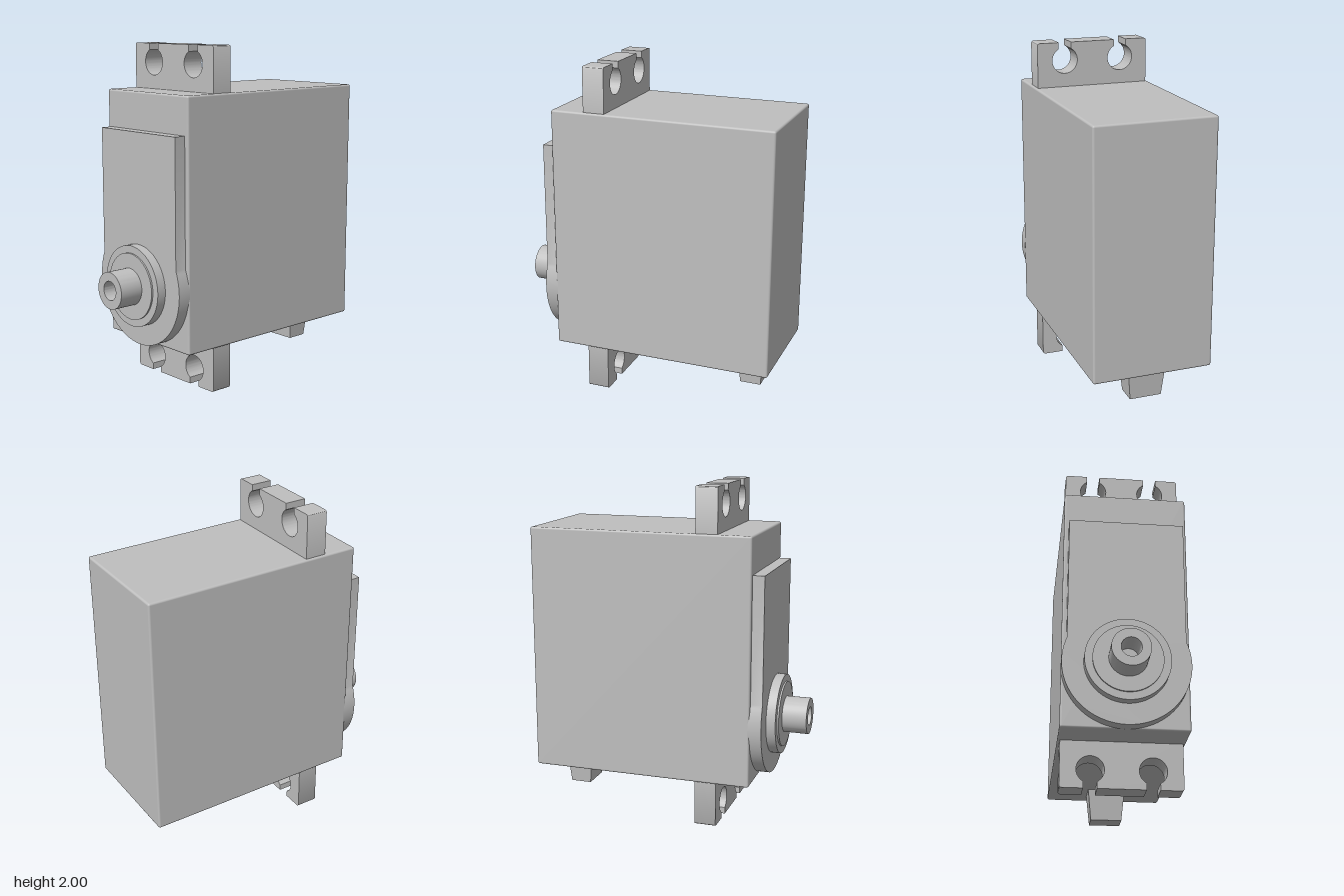
import * as THREE from 'three';
import { toCreasedNormals } from 'three/addons/utils/BufferGeometryUtils.js';
import { RoundedBoxGeometry } from 'three/addons/geometries/RoundedBoxGeometry.js';

const AXIS_Y = 0.63; // height of the output shaft

// Mounting tab with two keyhole slots open to its outer edge
function tabShape() {
  const w = 0.343, h = 0.265, r = 0.015;
  const holeR = 0.078, slot = 0.038, holeY = 0.158;
  const a = Math.acos(slot / holeR);
  const s = new THREE.Shape();
  s.moveTo(-w, -0.02);
  s.lineTo(w, -0.02);
  s.lineTo(w, h - r);
  s.absarc(w - r, h - r, r, 0, Math.PI / 2, false);
  for (const cx of [0.174, -0.174]) {
    s.lineTo(cx + slot, h);
    s.absarc(cx, holeY, holeR, a, Math.PI - a, true);
    s.lineTo(cx - slot, h);
  }
  s.absarc(-w + r, h - r, r, Math.PI / 2, Math.PI, false);
  s.closePath();
  return s;
}

// Raised front cover: a straight panel ending in a round boss
function coverShape() {
  const w = 0.33, r = 0.358, a = Math.acos(w / r);
  const s = new THREE.Shape();
  s.moveTo(w, 1.515);
  s.lineTo(-w, 1.515);
  s.absarc(0, AXIS_Y, r, Math.PI - a, 2 * Math.PI + a, false);
  s.closePath();
  return s;
}

function extrude(shape, depth) {
  const g = new THREE.ExtrudeGeometry(shape, { depth, bevelEnabled: false, curveSegments: 32 });
  return toCreasedNormals(g, 0.6);
}

export function createModel() {
  const group = new THREE.Group();
  const grey = new THREE.MeshStandardMaterial({ color: 0xbfbfbf });
  grey.name = 'grey';

  const add = (name, geometry, x, y, z) => {
    const mesh = new THREE.Mesh(geometry, grey);
    mesh.name = name;
    mesh.position.set(x, y, z);
    group.add(mesh);
    return mesh;
  };

  // Case
  add('case', new RoundedBoxGeometry(0.714, 1.465, 1.34, 3, 0.012), 0, 1.0025, -0.14);

  // Front cover
  add('frontCover', extrude(coverShape(), 0.08), 0, 0, 0.52);

  // Mounting tabs, the lower one turned over
  const tab = extrude(tabShape(), 0.13);
  add('topTab', tab, 0, 1.735, 0.2);
  add('bottomTab', tab, 0, 0.265, 0.2).rotation.z = Math.PI;

  // Stepped collar and hollow output shaft
  const profile = [
    [0.238, 0.59], [0.238, 0.655], [0.195, 0.655], [0.195, 0.665], [0.108, 0.665],
    [0.108, 0.81], [0.056, 0.81], [0.056, 0.66], [0, 0.66],
  ].map(([r, z]) => new THREE.Vector2(r, z));
  const shaft = toCreasedNormals(new THREE.LatheGeometry(profile, 64), 0.6);
  add('outputShaft', shaft, 0, AXIS_Y, 0).rotation.x = Math.PI / 2;

  // Tapered cable outlet under the rear
  const outlet = new THREE.BoxGeometry(0.23, 0.2, 0.165);
  const p = outlet.attributes.position;
  for (let i = 0; i < p.count; i++) {
    if (p.getY(i) < 0) {
      p.setX(i, p.getX(i) * 0.83);
      p.setZ(i, p.getZ(i) * 0.77);
    }
  }
  add('cableOutlet', toCreasedNormals(outlet, 0.6), 0, 0.18, -0.635);

  return group;
}
